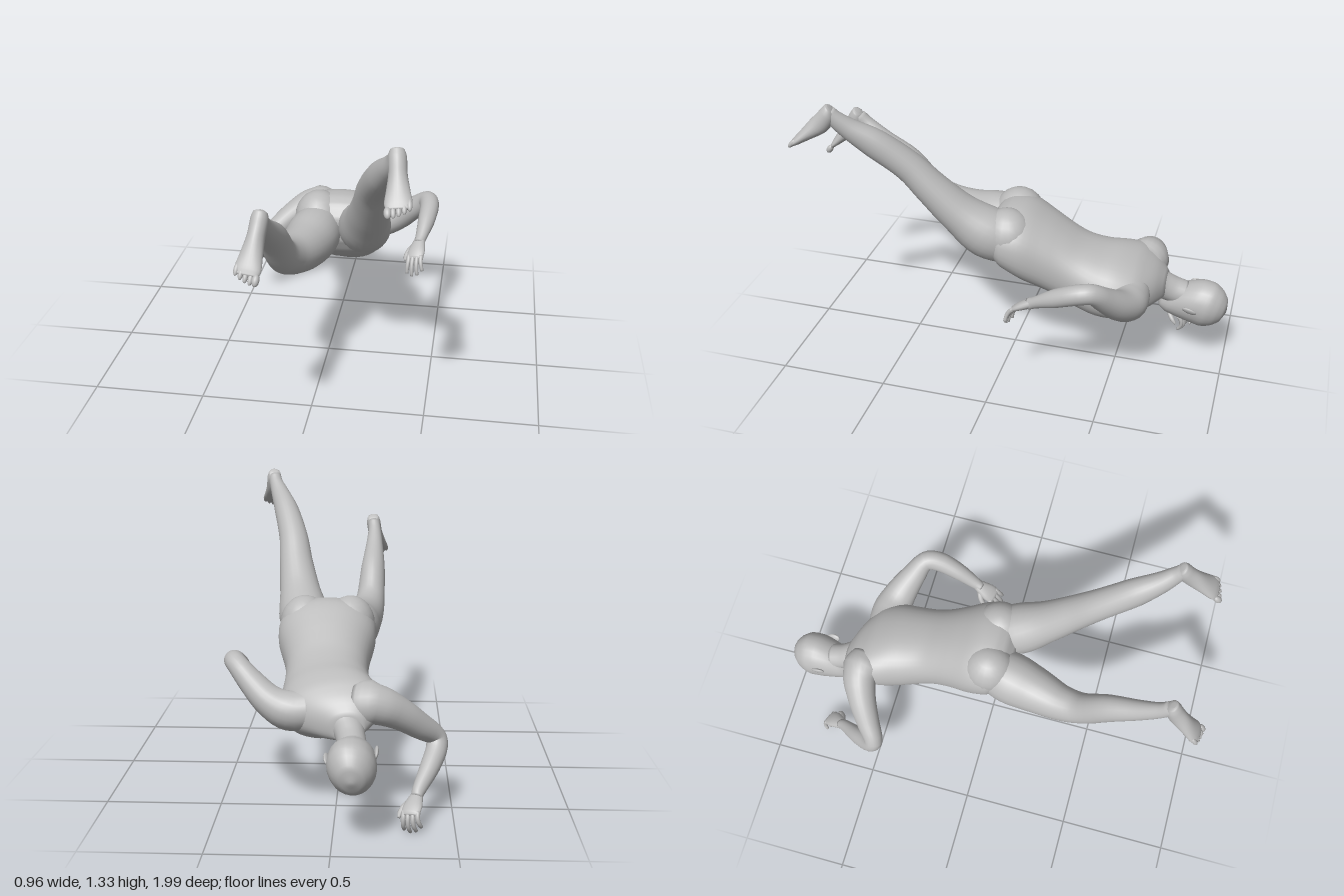
import * as THREE from 'three';

const V = (x, y, z) => new THREE.Vector3(x, y, z);
const skin = new THREE.MeshStandardMaterial({ color: 0xbbbbbb });
skin.name = 'plainGrey';

// Smooth skin over elliptical sections [x, y, z, sideRadius, depthRadius, roll].
// With opts.dir every section stays square to that direction; otherwise it follows the path.
function loft(name, stations, opts = {}) {
  const { side = V(1, 0, 0), dir = null, power = 1, seg = 24, sub = 4 } = opts;
  const n = stations.length;
  const rows = (n - 1) * sub;
  const path = new THREE.CatmullRomCurve3(stations.map(s => V(s[0], s[1], s[2])));
  const shape = new THREE.CatmullRomCurve3(stations.map(s => V(s[3], s[4], s[5] || 0)));
  const pos = [], index = [];
  const bend = v => Math.sign(v) * Math.pow(Math.abs(v), power);
  for (let i = 0; i <= rows; i++) {
    const c = path.getPoint(i / rows), r = shape.getPoint(i / rows);
    const t = dir ? dir.clone() : path.getTangent(i / rows);
    const a = side.clone();
    a.y += r.z;
    a.addScaledVector(t, -a.dot(t)).normalize();
    const b = t.clone().cross(a);
    for (let j = 0; j < seg; j++) {
      const q = j / seg * Math.PI * 2;
      const p = c.clone().addScaledVector(a, bend(Math.cos(q)) * r.x).addScaledVector(b, bend(Math.sin(q)) * r.y);
      pos.push(p.x, p.y, p.z);
    }
  }
  for (let i = 0; i < rows; i++) for (let j = 0; j < seg; j++) {
    const k = (j + 1) % seg, A = i * seg + j, B = i * seg + k, C = A + seg, D = B + seg;
    index.push(A, B, C, B, D, C);
  }
  // end caps
  const first = stations[0], last = stations[n - 1], base = (rows + 1) * seg;
  pos.push(...first.slice(0, 3), ...last.slice(0, 3));
  for (let j = 0; j < seg; j++) {
    const k = (j + 1) % seg;
    index.push(base, k, j, base + 1, rows * seg + j, rows * seg + k);
  }
  const g = new THREE.BufferGeometry();
  g.setAttribute('position', new THREE.Float32BufferAttribute(pos, 3));
  g.setIndex(index);
  g.computeVertexNormals();
  const m = new THREE.Mesh(g, skin);
  m.name = name;
  return m;
}

function ball(name, p, r) {
  const m = new THREE.Mesh(new THREE.SphereGeometry(1, 20, 14), skin);
  m.name = name;
  m.position.set(...p);
  m.scale.set(...r);
  return m;
}

// Group whose local y runs along "along" and local x leans to "side"
function framed(name, origin, along, side) {
  const y = along.clone().normalize();
  const x = side.clone().addScaledVector(y, -side.dot(y)).normalize();
  const g = new THREE.Group();
  g.name = name;
  g.quaternion.setFromRotationMatrix(new THREE.Matrix4().makeBasis(x, y, x.clone().cross(y)));
  g.position.copy(origin);
  return g;
}

function makeHead() {
  const g = framed('head', V(-0.08, 0.36, -0.85), V(0, -0.29, -0.957), V(-1, 0.2, 0));
  g.add(loft('skull', [
    [0, -0.156, 0.07, 0.016, 0.012], [0, -0.145, 0.065, 0.042, 0.036],
    [0, -0.11, 0.045, 0.068, 0.07], [0, -0.06, 0.02, 0.085, 0.096],
    [0, 0, 0, 0.097, 0.115], [0, 0.05, -0.005, 0.099, 0.118],
    [0, 0.1, -0.005, 0.083, 0.098], [0, 0.135, -0.005, 0.052, 0.062],
    [0, 0.15, -0.005, 0.01, 0.01],
  ], { dir: V(0, 1, 0) }));
  g.add(loft('nose', [
    [0, 0.01, 0.105, 0.009, 0.01], [0, -0.03, 0.117, 0.012, 0.014],
    [0, -0.055, 0.122, 0.018, 0.018], [0, -0.066, 0.113, 0.012, 0.01],
  ], { dir: V(0, 1, 0).negate(), seg: 12 }));
  for (const y of [-0.088, -0.1]) g.add(ball('lip', [0, y, 0.108], [0.027, 0.008, 0.01]));
  for (const s of [-1, 1]) {
    g.add(ball('eye', [s * 0.037, -0.005, 0.1], [0.018, 0.01, 0.01]));
    g.add(ball('brow', [s * 0.037, 0.018, 0.099], [0.025, 0.009, 0.012]));
    const ear = ball('ear', [s * 0.1, -0.015, -0.015], [0.009, 0.034, 0.021]);
    ear.rotation.y = s * -0.4;
    g.add(ear);
  }
  return g;
}

function makeHand(name, wrist, along, thumbSide, curl) {
  const g = framed(name, wrist, along, thumbSide);
  g.add(loft('palm', [
    [0, -0.015, 0, 0.025, 0.02], [0, 0.02, 0, 0.034, 0.021],
    [0, 0.06, 0, 0.042, 0.018], [0, 0.09, -0.002, 0.04, 0.013], [0, 0.1, -0.003, 0.03, 0.006],
  ], { dir: V(0, 1, 0), seg: 16 }));
  [0.031, 0.011, -0.01, -0.03].forEach((x, i) => {
    const step = [0.03, 0.034, 0.032, 0.025][i];
    let y = 0.08, z = 0, angle = 0;
    const pts = [[x, y, z, 0.011, 0.011]];
    for (let k = 0; k < 3; k++) {
      angle += curl;
      y += Math.cos(angle) * step;
      z -= Math.sin(angle) * step;
      pts.push([x * (1 + 0.12 * k), y, z, 0.0105 - k * 0.0015, 0.0105 - k * 0.0015]);
    }
    g.add(loft('finger', pts, { seg: 10, sub: 3 }));
  });
  g.add(loft('thumb', [
    [0.02, 0.02, -0.006, 0.015, 0.015], [0.045, 0.045, -0.014, 0.013, 0.013],
    [0.056, 0.07, -0.022, 0.011, 0.011], [0.058, 0.092, -0.03, 0.006, 0.006],
  ], { side: V(0, 0, 1), seg: 10 }));
  return g;
}

// Foot from heel to toe tip; local z points to the instep, "inner" is the big-toe side
function makeFoot(name, heel, toe, inner) {
  const along = toe.clone().sub(heel), L = along.length();
  const g = framed(name, heel, along, V(1, 0, 0));
  g.add(loft('sole', [
    [0, 0, 0.025, 0.014, 0.012], [0, 0.02 * L, 0.03, 0.028, 0.026],
    [0, 0.12 * L, 0.04, 0.036, 0.038], [0, 0.32 * L, 0.043, 0.036, 0.042],
    [0, 0.6 * L, 0.03, 0.046, 0.029], [0, 0.78 * L, 0.02, 0.053, 0.019],
    [0, 0.87 * L, 0.015, 0.046, 0.011],
  ], { dir: V(0, 1, 0) }));
  for (let i = 0; i < 5; i++) {
    const x = inner * (0.04 - i * 0.0205), r = i ? 0.0105 : 0.015;
    g.add(ball('toe', [x, (0.91 - i * i * 0.006) * L, 0.014], [r, 0.085 * L, r]));
  }
  return g;
}

export function createModel() {
  const body = new THREE.Group();
  body.name = 'figure';

  // Torso from seat to neck, gently rolled at the shoulders
  body.add(loft('torso', [
    [0.06, 0.7, 0.09, 0.1, 0.05], [0.06, 0.695, 0.05, 0.19, 0.115],
    [0.06, 0.685, 0, 0.222, 0.15], [0.06, 0.66, -0.08, 0.222, 0.172],
    [0.055, 0.61, -0.18, 0.197, 0.17, -0.03], [0.05, 0.565, -0.26, 0.183, 0.165, -0.06],
    [0.045, 0.52, -0.34, 0.185, 0.163, -0.1], [0.035, 0.492, -0.43, 0.2, 0.16, -0.14],
    [0.02, 0.487, -0.52, 0.213, 0.148, -0.17], [0, 0.49, -0.6, 0.205, 0.118, -0.17],
    [-0.03, 0.472, -0.67, 0.135, 0.085, -0.17], [-0.06, 0.445, -0.715, 0.06, 0.055, -0.17],
  ], { dir: V(0, 0, -1), power: 0.9, seg: 40 }));
  for (const x of [-0.045, 0.165]) body.add(ball('buttock', [x, 0.72, -0.01], [0.112, 0.125, 0.12]));

  body.add(loft('neck', [
    [-0.035, 0.465, -0.63, 0.085, 0.08], [-0.06, 0.435, -0.69, 0.065, 0.066],
    [-0.072, 0.41, -0.74, 0.06, 0.062], [-0.08, 0.39, -0.8, 0.06, 0.06],
  ]));
  body.add(makeHead());

  // Legs
  body.add(loft('rightLeg', [
    [-0.03, 0.69, -0.03, 0.1, 0.11], [-0.055, 0.675, 0.1, 0.12, 0.125],
    [-0.08, 0.67, 0.22, 0.106, 0.11], [-0.115, 0.69, 0.35, 0.083, 0.088],
    [-0.13, 0.735, 0.445, 0.07, 0.075], [-0.14, 0.865, 0.565, 0.06, 0.067],
    [-0.145, 0.955, 0.685, 0.045, 0.048], [-0.145, 1.03, 0.775, 0.033, 0.038],
    [-0.14, 1.07, 0.81, 0.03, 0.034],
  ]));
  body.add(loft('leftLeg', [
    [0.15, 0.68, -0.03, 0.1, 0.11], [0.175, 0.725, 0.08, 0.117, 0.12],
    [0.203, 0.82, 0.2, 0.097, 0.093], [0.23, 0.94, 0.315, 0.08, 0.077],
    [0.25, 1.045, 0.41, 0.07, 0.068], [0.295, 1.16, 0.545, 0.06, 0.066],
    [0.335, 1.235, 0.64, 0.045, 0.048], [0.36, 1.285, 0.69, 0.034, 0.038],
    [0.37, 1.32, 0.715, 0.03, 0.03],
  ]));
  body.add(makeFoot('rightFoot', V(-0.135, 1.115, 0.835), V(-0.17, 0.87, 0.995), 1));
  body.add(makeFoot('leftFoot', V(0.37, 1.36, 0.725), V(0.4, 1.15, 0.915), -1));

  // Arms
  body.add(loft('leftArm', [
    [0.1, 0.48, -0.57, 0.085, 0.09], [0.19, 0.475, -0.575, 0.085, 0.092],
    [0.27, 0.505, -0.555, 0.07, 0.08], [0.36, 0.58, -0.505, 0.055, 0.06],
    [0.425, 0.643, -0.455, 0.045, 0.046], [0.44, 0.64, -0.4, 0.045, 0.047],
    [0.433, 0.6, -0.3, 0.041, 0.041], [0.415, 0.55, -0.205, 0.026, 0.028],
    [0.41, 0.535, -0.175, 0.026, 0.022],
  ], { side: V(0.65, -0.72, -0.23) }));
  body.add(loft('rightArm', [
    [-0.08, 0.52, -0.6, 0.08, 0.085], [-0.17, 0.52, -0.615, 0.08, 0.085],
    [-0.26, 0.475, -0.585, 0.068, 0.07], [-0.35, 0.405, -0.535, 0.056, 0.058],
    [-0.425, 0.338, -0.487, 0.045, 0.046], [-0.43, 0.3, -0.505, 0.045, 0.047],
    [-0.4, 0.24, -0.58, 0.042, 0.043], [-0.35, 0.17, -0.68, 0.027, 0.029],
    [-0.34, 0.15, -0.705, 0.026, 0.022],
  ], { side: V(0.63, -0.39, 0.67) }));
  body.add(makeHand('leftHand', V(0.41, 0.54, -0.185), V(-0.15, -0.5, 0.85), V(-1, -0.3, 0), 0.3));
  body.add(makeHand('rightHand', V(-0.34, 0.15, -0.7), V(0.28, -0.42, -0.87), V(1, -0.2, 0.2), 0.58));
  return body;
}
